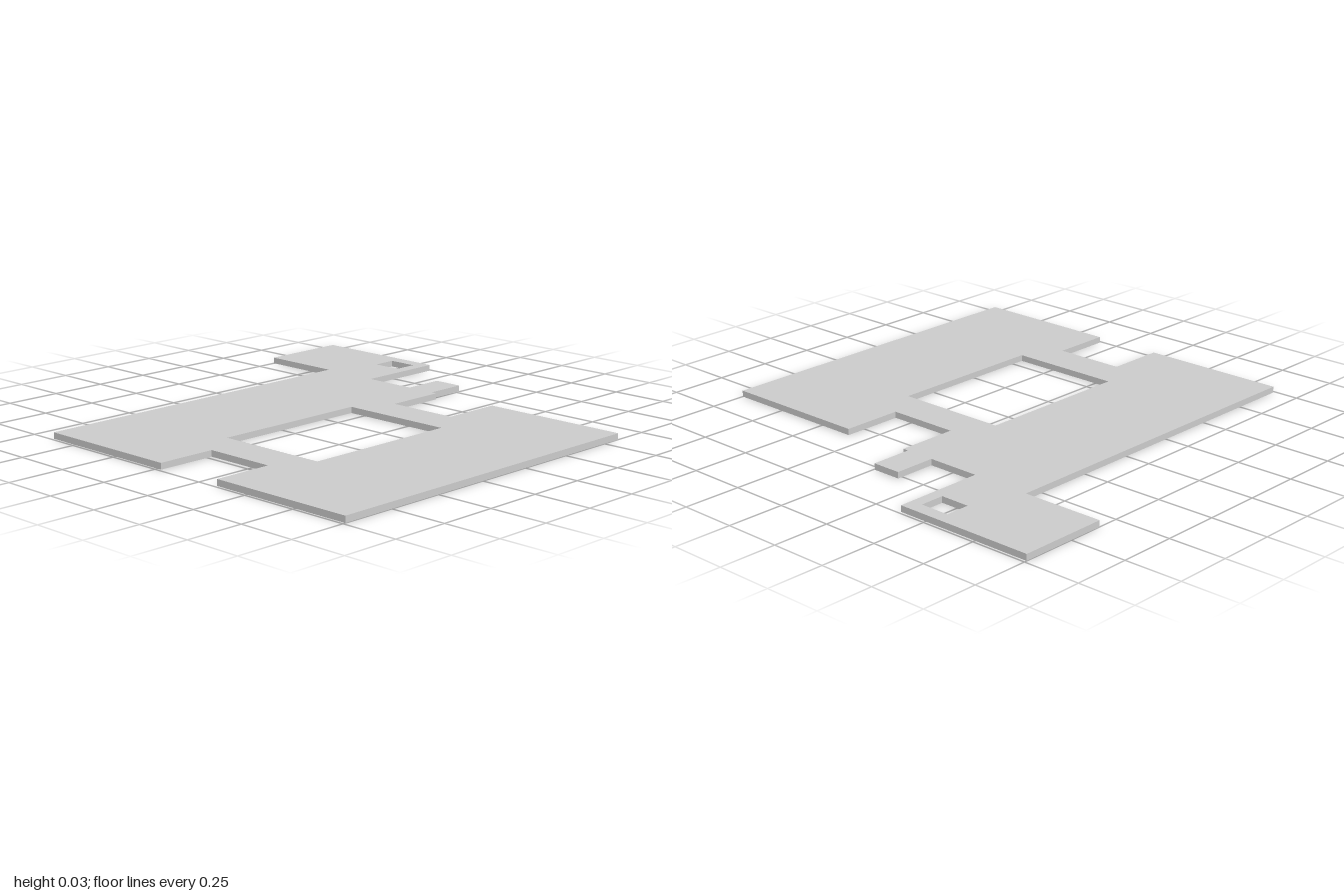
import * as THREE from 'three';

const THICKNESS = 0.027;

// Plan points are [x, z]; the shape's y is -z so the slab lies flat after rotation.
const toPoints = (plan) => plan.map(([x, z]) => new THREE.Vector2(x, -z));

// Rectangular cut-out given by its plan limits
const rectHole = (x0, x1, z0, z1) =>
  new THREE.Path(toPoints([[x0, z0], [x1, z0], [x1, z1], [x0, z1]]));

export function createModel() {
  const group = new THREE.Group();
  group.name = 'floorSlab';

  // Outline: main body with side notches, back corner wing and small side tab
  const outline = new THREE.Shape(toPoints([
    [-0.988, 1], [0.59, 1], [0.59, 0.339],
    [0.323, 0.339], [0.323, 0.021], [0.59, 0.021], // left notch
    [0.59, -0.005], [0.772, -0.005], [0.772, -0.135], [0.59, -0.135], // tab
    [0.59, -0.372], [0.988, -0.372], [0.988, -1], [0.593, -1], [0.593, -0.637], // wing
    [-0.988, -0.637], [-0.988, 0.021],
    [-0.727, 0.021], [-0.727, 0.339], [-0.988, 0.339], // right notch
  ]));

  // Central courtyard opening and small shaft in the wing
  outline.holes.push(
    rectHole(-0.558, 0.157, -0.074, 0.433),
    rectHole(0.824, 0.931, -0.556, -0.424),
  );

  const geometry = new THREE.ExtrudeGeometry(outline, { depth: THICKNESS, bevelEnabled: false });
  geometry.rotateX(-Math.PI / 2);

  const slab = new THREE.Mesh(
    geometry,
    new THREE.MeshStandardMaterial({ color: 0xcccccc, flatShading: true }),
  );
  slab.name = 'slab';
  group.add(slab);
  return group;
}
